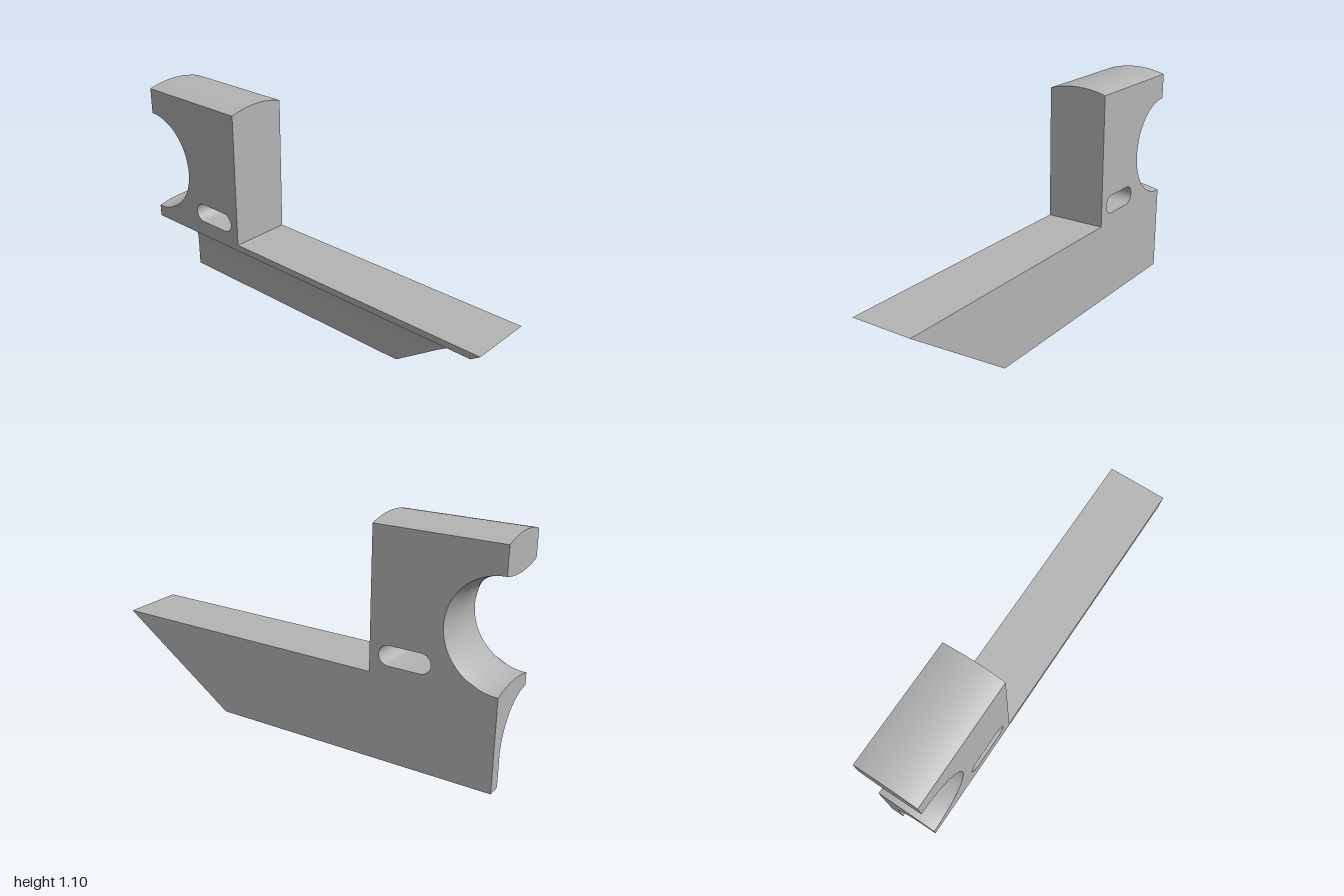
import * as THREE from 'three';
import { toCreasedNormals } from 'three/addons/utils/BufferGeometryUtils.js';

const HALF = 0.153;        // half depth in z
const SEAM = 0.413;        // top of the rail, foot of the upright
const TOP = 1.099;
const STEP_X = -0.405;     // right face of the upright
const HOLE_Y = 0.695, HOLE_R = 0.234;
const near = (a, b) => Math.abs(a - b) < 1e-4;

// Move every vertex by a rule
function reshape(geo, rule) {
  const p = geo.attributes.position, v = new THREE.Vector3();
  for (let i = 0; i < p.count; i++) {
    v.fromBufferAttribute(p, i);
    rule(v);
    p.setXYZ(i, v.x, v.y, v.z);
  }
  return geo;
}

// Drop the hidden faces where the upright meets the rail, then set normals
function finish(geo) {
  const p = geo.attributes.position, kept = [];
  for (let i = 0; i < p.count; i += 3) {
    const ids = [i, i + 1, i + 2];
    if (ids.every(k => near(p.getY(k), SEAM) && p.getX(k) < STEP_X + 1e-4)) continue;
    ids.forEach(k => kept.push(p.getX(k), p.getY(k), p.getZ(k)));
  }
  const out = new THREE.BufferGeometry();
  out.setAttribute('position', new THREE.Float32BufferAttribute(kept, 3));
  return toCreasedNormals(out, 0.25);
}

// Upright block: crowned top, half-round bulging saddle and a slot
function uprightGeometry() {
  const s = new THREE.Shape();
  s.moveTo(-1, SEAM);
  s.lineTo(STEP_X, SEAM);
  s.lineTo(STEP_X, TOP);
  s.lineTo(-1, TOP);
  s.lineTo(-1, HOLE_Y + HOLE_R);
  s.absarc(-1, HOLE_Y, HOLE_R, Math.PI / 2, -Math.PI / 2, true);

  const r = 0.047, y = 0.507, x0 = -0.651, x1 = -0.497;
  const slot = new THREE.Path();
  slot.absarc(x0, y, r, Math.PI / 2, Math.PI * 1.5, false);
  slot.absarc(x1, y, r, -Math.PI / 2, Math.PI / 2, false);
  s.holes.push(slot);

  const geo = new THREE.ExtrudeGeometry(s, {
    depth: 2 * HALF, steps: 20, bevelEnabled: false, curveSegments: 40,
  }).translate(0, 0, -HALF);
  return finish(reshape(geo, v => {
    const k = (v.z / HALF) ** 2;
    const d = Math.hypot(v.x + 1, v.y - HOLE_Y);
    if (near(v.y, TOP)) v.y -= 0.023 * k;
    else if (near(d, HOLE_R)) {
      const f = 1 + 0.02 * k / HOLE_R;
      v.x = -1 + (v.x + 1) * f;
      v.y = HOLE_Y + (v.y - HOLE_Y) * f;
    }
  }));
}

// Rail: angle section with a large fillet, its far end cut on a slant
function railGeometry() {
  const s = new THREE.Shape();
  s.moveTo(HALF, 0);
  s.lineTo(HALF, SEAM);
  s.lineTo(-HALF, SEAM);
  s.lineTo(-HALF, 0.382);
  s.absarc(-HALF, 0.142, 0.24, Math.PI / 2, 0, true);
  s.lineTo(0.087, 0);

  const geo = new THREE.ExtrudeGeometry(s, {
    depth: 2, steps: 2, bevelEnabled: false, curveSegments: 32,
  }).rotateY(Math.PI / 2);
  return finish(reshape(geo, v => {
    if (near(v.x, 0)) v.x = -1;
    else if (near(v.x, 1)) v.x = STEP_X;
    else v.x = 0.405 + 0.595 * v.y / SEAM;
  }));
}

export function createModel() {
  const grey = new THREE.MeshStandardMaterial({ color: 0xb4b4b4 });
  grey.name = 'grey';
  const group = new THREE.Group();
  group.name = 'bracket';
  const parts = { upright: uprightGeometry(), rail: railGeometry() };
  for (const [name, geo] of Object.entries(parts)) {
    const mesh = new THREE.Mesh(geo, grey);
    mesh.name = name;
    group.add(mesh);
  }
  return group;
}
